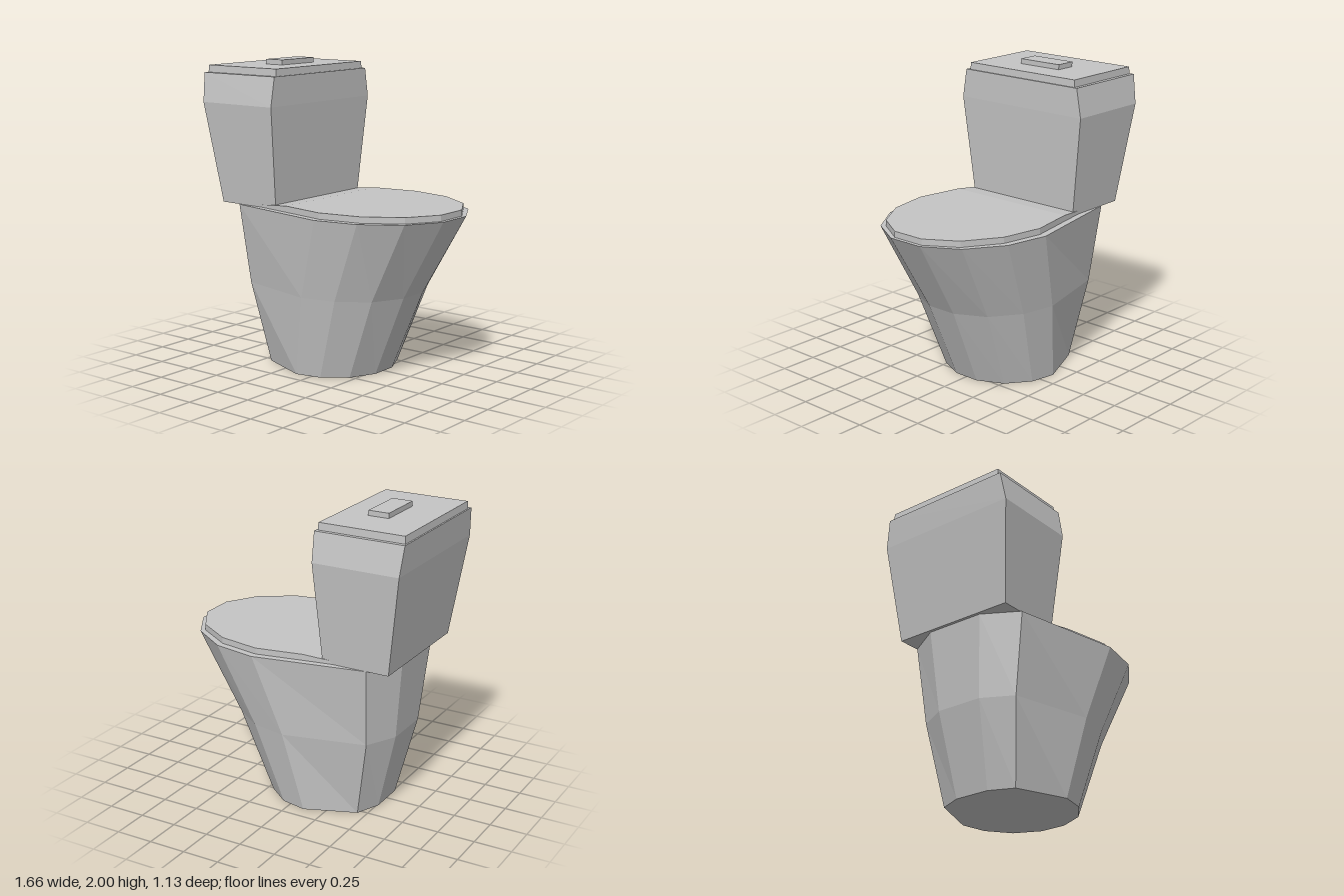
import * as THREE from 'three';

const ceramic = new THREE.MeshStandardMaterial({ color: 0xc4c4c4 });
ceramic.name = 'grey ceramic';

// Mirrors a half outline of [x, z] or [x, z, y] points (front to back) into a full ring.
function ring(y, half, dz = 0) {
  const side = (s) => half.map(([x, z, py = y]) => [x, py, s * z + dz]);
  return [...side(1), ...side(-1).reverse()];
}

// Skins a stack of rings, lowest first, and caps both ends; facets stay flat.
function loft(name, rings) {
  const n = rings[0].length;
  const pos = [];
  const quad = (a, b, c, d) => pos.push(...a, ...b, ...c, ...a, ...c, ...d);
  for (let r = 0; r < rings.length - 1; r++) {
    const lo = rings[r], hi = rings[r + 1];
    for (let i = 0; i < n; i++) {
      const j = (i + 1) % n;
      quad(lo[i], hi[i], hi[j], lo[j]);
    }
  }
  const bottom = rings[0], top = rings[rings.length - 1];
  for (let i = 0; i < n / 2 - 1; i++) {
    const a = n - 1 - i, b = n - 2 - i;
    quad(bottom[i], bottom[i + 1], bottom[b], bottom[a]);
    quad(top[i], top[a], top[b], top[i + 1]);
  }
  const geometry = new THREE.BufferGeometry();
  geometry.setAttribute('position', new THREE.Float32BufferAttribute(pos, 3));
  geometry.computeVertexNormals();
  const mesh = new THREE.Mesh(geometry, ceramic);
  mesh.name = name;
  return mesh;
}

// Rectangular ring for the tank parts.
const rect = (y, x0, x1, z) => ring(y, [[x1, z], [x0, z]], -0.005);

export function createModel() {
  const model = new THREE.Group();
  model.name = 'toilet';

  // Bowl and pedestal, flaring forward from a round foot
  model.add(loft('bowl', [
    ring(0, [[0.29, 0.09], [0.21, 0.26], [0.06, 0.375], [-0.11, 0.41], [-0.44, 0.28], [-0.51, 0.12]]),
    ring(0.54, [[0.52, 0.105], [0.42, 0.305], [0.23, 0.44], [0, 0.487], [-0.54, 0.36], [-0.645, 0.16]]),
    ring(1.07, [[0.83, 0.125], [0.7, 0.35], [0.46, 0.51], [0.17, 0.565], [-0.57, 0.43], [-0.7, 0.2]]),
  ]));

  // Seat lid, thinning out beneath the tank
  const lid = [[0.805, 0.115], [0.68, 0.32], [0.45, 0.465], [0.17, 0.517]];
  model.add(loft('seatLid', [
    ring(1.07, [...lid, [-0.14, 0.462], [-0.45, 0.41]]),
    ring(1.11, [...lid, [-0.14, 0.462], [-0.45, 0.41, 1.08]]),
  ]));

  // Tank, tank lid and flush button
  model.add(loft('tank', [
    rect(1.07, -0.72, -0.265, 0.425),
    rect(1.73, -0.815, -0.232, 0.5),
    rect(1.92, -0.832, -0.23, 0.467),
  ]));
  model.add(loft('tankLid', [
    rect(1.92, -0.822, -0.24, 0.44),
    rect(1.967, -0.818, -0.243, 0.437),
  ]));
  model.add(loft('flushButton', [
    rect(1.96, -0.57, -0.43, 0.16),
    rect(2, -0.57, -0.43, 0.16),
  ]));

  return model;
}
